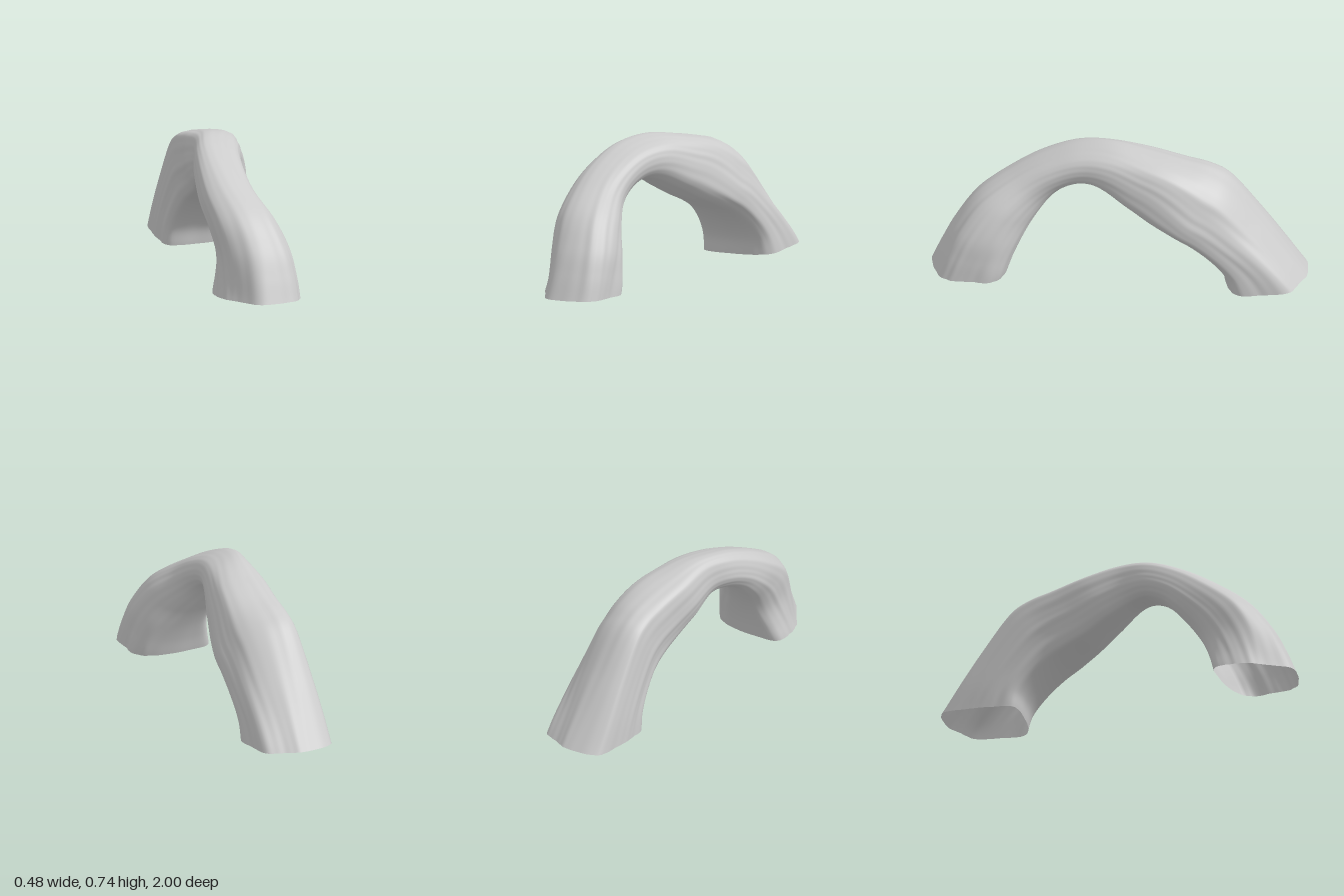
import * as THREE from 'three';

// Stations from front foot to back foot: outer z, y, inner z, y, then x range
const STATIONS = [
  [1.0, 0.01, 0.595, 0.01, -0.22, 0.2],
  [0.945, 0.14, 0.565, 0.1, -0.205, 0.195],
  [0.875, 0.275, 0.52, 0.2, -0.198, 0.18],
  [0.755, 0.43, 0.46, 0.3, -0.215, 0.13],
  [0.57, 0.557, 0.38, 0.4, -0.235, 0.06],
  [0.4, 0.65, 0.3, 0.475, -0.23, 0.04],
  [0.22, 0.72, 0.2, 0.518, -0.208, 0.05],
  [0.03, 0.745, 0.1, 0.51, -0.172, 0.09],
  [-0.18, 0.713, -0.03, 0.445, -0.168, 0.145],
  [-0.36, 0.675, -0.15, 0.38, -0.152, 0.19],
  [-0.49, 0.64, -0.27, 0.325, -0.145, 0.22],
  [-0.6, 0.57, -0.37, 0.27, -0.148, 0.228],
  [-0.76, 0.37, -0.46, 0.19, -0.157, 0.23],
  [-0.89, 0.195, -0.52, 0.1, -0.165, 0.23],
  [-1.0, 0.045, -0.535, 0.01, -0.168, 0.235],
];

// Cross-sections in unit space: u runs right to left, v from inside to outside of the bend
const SECTIONS = [
  { t: 0, pts: [[1, 0], [0.97, 0.5], [0.65, 0.82], [-0.15, 1], [-0.65, 0.42],
    [-0.92, -0.02], [-1, -0.45], [-0.86, -0.96], [0.5, -0.98], [1, -0.6]] },
  { t: 0.22, pts: [[1, 0], [0.88, 0.55], [0.52, 0.88], [-0.2, 1], [-0.83, 0.68],
    [-1, 0.02], [-0.95, -0.5], [-0.65, -0.95], [0.2, -1], [0.77, -0.6]] },
  { t: 0.46, pts: [[1, -0.05], [0.85, 0.52], [0.3, 0.86], [-0.45, 1], [-0.84, 0.75],
    [-1, 0.1], [-0.95, -0.5], [-0.6, -0.95], [0.2, -1], [0.85, -0.65]] },
  { t: 0.58, pts: [[1, -0.1], [0.9, 0.45], [0.6, 0.88], [-0.25, 1], [-0.85, 0.82],
    [-1, 0.15], [-0.97, -0.45], [-0.7, -0.94], [0.25, -1], [0.9, -0.75]] },
  { t: 0.75, pts: [[1, -0.4], [0.82, 0.08], [0.5, 0.62], [-0.35, 0.98], [-0.9, 0.86],
    [-1, 0.2], [-0.97, -0.4], [-0.75, -0.92], [0.3, -1], [0.9, -0.85]] },
  { t: 1, pts: [[1, 0], [0.9, 0.62], [0.4, 0.85], [-0.1, 1], [-0.9, 0.8],
    [-1, 0.1], [-1, -0.45], [-0.8, -0.96], [0.35, -0.85], [0.96, -0.58]] },
];
const RINGS = 112, SIDES = 100;

const spline = (pick) => new THREE.CatmullRomCurve3(
  STATIONS.map((s) => new THREE.Vector3(...pick(s))), false, 'catmullrom', 0.5);

// Blend the two neighbouring cross-sections at t into one closed outline
function outlineAt(t) {
  const i = Math.min(SECTIONS.length - 2, SECTIONS.filter((s) => s.t <= t).length - 1);
  const from = SECTIONS[i], to = SECTIONS[i + 1];
  const k = THREE.MathUtils.smoothstep(t, from.t, to.t);
  return new THREE.CatmullRomCurve3(from.pts.map(([u, v], n) => new THREE.Vector3(
    THREE.MathUtils.lerp(u, to.pts[n][0], k),
    THREE.MathUtils.lerp(v, to.pts[n][1], k), 0)), true, 'catmullrom', 0.5);
}

// Shallow grooves running along the arch and drifting slowly round it
const grooves = (a, t) =>
  0.007 * Math.sin(7 * a + 4 * t) +
  0.007 * Math.sin(13 * a - 5 * t + 1) * Math.sin(5 * t + 1) +
  0.004 * Math.sin(21 * a + 3 * t + 2);

function createArchSurface() {
  const outer = spline((s) => [0, s[1], s[0]]);
  const inner = spline((s) => [0, s[3], s[2]]);
  const width = spline((s) => [s[4], s[5], 0]);
  const positions = [], indices = [];
  const p = new THREE.Vector3();

  for (let i = 0; i <= RINGS; i++) {
    const t = i / RINGS;
    const o = outer.getPoint(t), n = inner.getPoint(t), w = width.getPoint(t);
    const outline = outlineAt(t);
    for (let j = 0; j < SIDES; j++) {
      const q = outline.getPoint(j / SIDES);
      q.multiplyScalar(0.995 + grooves((j / SIDES) * Math.PI * 2, t));
      p.lerpVectors(n, o, (q.y + 1) / 2);
      p.x = (w.x + w.y) / 2 + q.x * (w.y - w.x) / 2;
      positions.push(p.x, Math.max(0, p.y), p.z);
    }
  }
  for (let i = 0; i < RINGS; i++) {
    for (let j = 0; j < SIDES; j++) {
      const a = i * SIDES + j, b = i * SIDES + (j + 1) % SIDES;
      const c = a + SIDES, d = b + SIDES;
      indices.push(a, b, c, b, d, c);
    }
  }
  const geometry = new THREE.BufferGeometry();
  geometry.setAttribute('position', new THREE.Float32BufferAttribute(positions, 3));
  geometry.setIndex(indices);
  geometry.computeVertexNormals();
  return geometry;
}

export function createModel() {
  const group = new THREE.Group();
  group.name = 'naturalRockArch';
  // Hollow shell, open at both feet
  const arch = new THREE.Mesh(
    createArchSurface(),
    new THREE.MeshStandardMaterial({ color: 0xcccccc, side: THREE.DoubleSide }));
  arch.name = 'rockArch';
  group.add(arch);
  return group;
}
